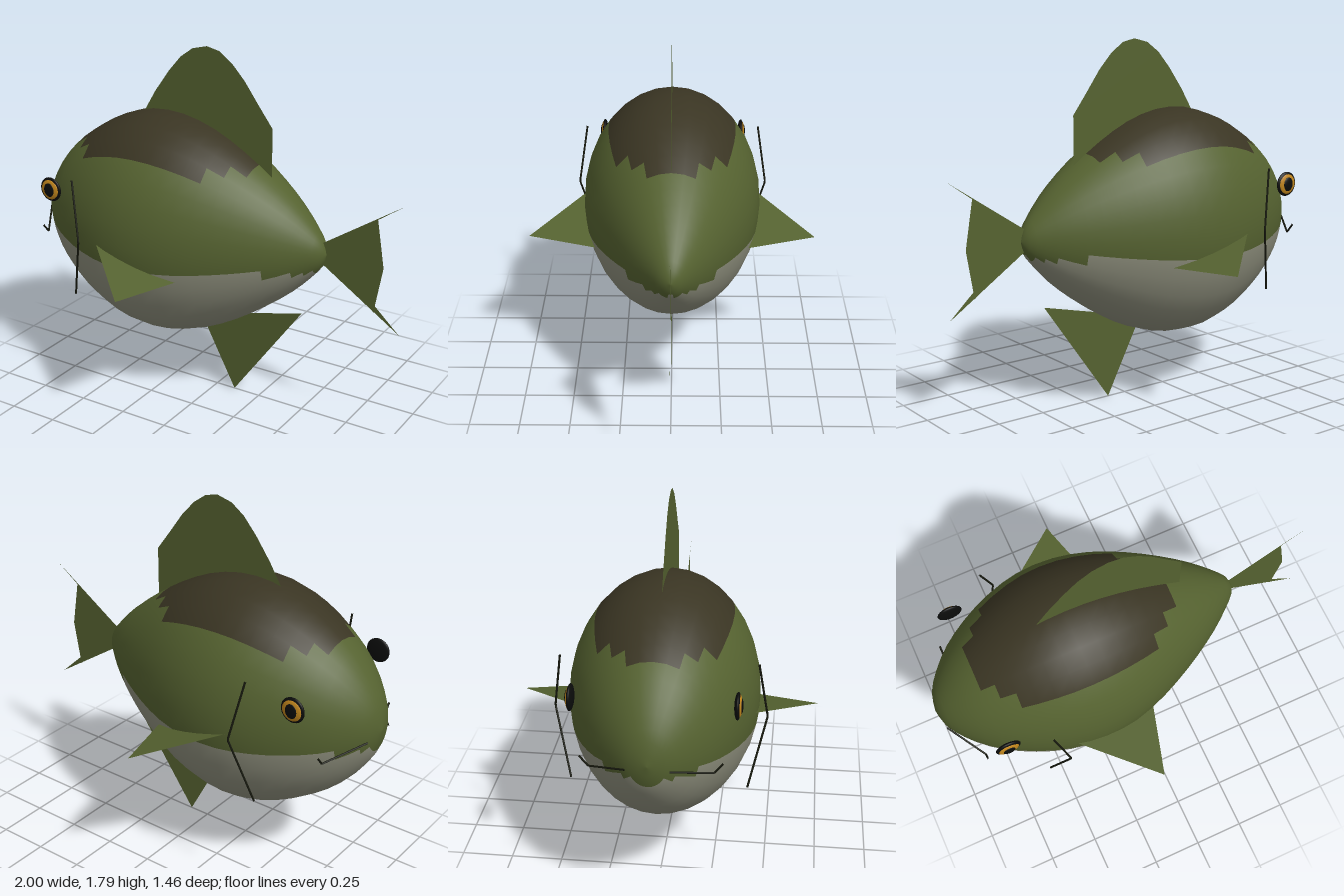
import * as THREE from 'three';

const mat = (name, color, side = THREE.FrontSide) => {
  const m = new THREE.MeshStandardMaterial({ color, side });
  m.name = name;
  return m;
};

export function createModel() {
  const group = new THREE.Group();
  const olive = mat('olive scales', 0x556230, THREE.DoubleSide);
  const dark = mat('dark back', 0x3a3523);
  const pale = mat('pale belly', 0x8c8d7b);
  const line = mat('dark line', 0x17190e);
  const amber = mat('amber iris', 0xc0851c);
  const black = mat('black eye', 0x0b0c0b);

  const add = (name, geometry, material) => {
    const mesh = new THREE.Mesh(geometry, material);
    mesh.name = name;
    group.add(mesh);
    return mesh;
  };

  // Body: elliptical rings along x, coloured face by face according to height
  const midY = 0.87, halfH = 0.58, halfW = 0.455, sides = 32, rings = 28;
  const radii = [0, 0.19, 0.375, 0.575, 0.75, 0.895, 0.985, 0.985, 0.9, 0.75, 0.575, 0.4, 0.235, 0.11, 0];
  const profile = new THREE.SplineCurve(radii.map((r, i) =>
    new THREE.Vector2(-0.195 - 0.805 * Math.cos((i / 14) * Math.PI), r))).getPoints(rings);
  const pos = [];
  for (const p of profile) {
    for (let j = 0; j < sides; j++) {
      const a = (j / sides) * Math.PI * 2;
      pos.push(p.x, midY + halfH * p.y * Math.cos(a), halfW * p.y * Math.sin(a));
    }
  }
  const faces = [[], [], []];
  for (let i = 0; i < rings; i++) {
    for (let j = 0; j < sides; j++) {
      const k = (j + 1) % sides;
      const a = i * sides + j, b = i * sides + k, c = a + sides, d = b + sides;
      const h = (pos[a * 3 + 1] + pos[b * 3 + 1] + pos[c * 3 + 1] + pos[d * 3 + 1]) / 4 - midY;
      const list = faces[h > 0.376 ? 1 : h < -0.08 ? 2 : 0];
      if (i > 0) list.push(a, b, c);
      if (i < rings - 1) list.push(b, d, c);
      else list.push(a, b, c);
    }
  }
  const bodyGeo = new THREE.BufferGeometry();
  bodyGeo.setAttribute('position', new THREE.Float32BufferAttribute(pos, 3));
  bodyGeo.setIndex(faces.flat());
  // The nose cap needs its own triangles, since the first ring is a single point
  const nose = [[], [], []];
  for (let j = 0; j < sides; j++) {
    const k = (j + 1) % sides;
    nose[0].push(j, sides + k, sides + j);
  }
  faces[0].push(...nose[0]);
  bodyGeo.setIndex(faces.flat());
  let start = 0;
  faces.forEach((f, i) => {
    bodyGeo.addGroup(start, f.length, i);
    start += f.length;
  });
  bodyGeo.computeVertexNormals();
  add('body', bodyGeo, [olive, dark, pale]);

  // Flat fins on the centre plane
  const fin = (name, pts) => add(name,
    new THREE.ShapeGeometry(new THREE.Shape(pts.map(([x, y]) => new THREE.Vector2(x, y)))), olive);
  fin('dorsalFin', [[-0.43, 1.42], [-0.36, 1.535], [-0.28, 1.645], [-0.21, 1.725], [-0.14, 1.775],
    [-0.06, 1.795], [0.01, 1.78], [0.08, 1.73], [0.15, 1.655], [0.23, 1.545], [0.305, 1.445],
    [0.305, 1.1], [-0.3, 1.3]]);
  fin('tailFin', [[0.54, 0.895], [0.59, 0.93], [1, 1.2], [0.865, 1.105], [0.905, 0.87],
    [0.865, 0.635], [1, 0.55], [0.59, 0.82], [0.54, 0.85]]);
  fin('analFin', [[-0.08, 0.35], [0.105, 0], [0.485, 0.53], [0.14, 0.445], [0.04, 0.48]]);

  for (const s of [1, -1]) {
    const side = s > 0 ? 'left' : 'right';

    // Pectoral fin
    const geo = new THREE.BufferGeometry().setFromPoints([
      new THREE.Vector3(-0.43, 0.85, 0.435 * s),
      new THREE.Vector3(-0.1, 0.742, 0.73 * s),
      new THREE.Vector3(0, 0.73, 0.385 * s),
    ]);
    geo.setIndex(s > 0 ? [0, 1, 2] : [0, 2, 1]);
    geo.computeVertexNormals();
    add(side + 'PectoralFin', geo, olive);

    // Gill and mouth lines
    const stroke = (name, pts, radius) => {
      const path = new THREE.CurvePath();
      const v = pts.map(([x, y, z]) => new THREE.Vector3(x, y, z * s));
      for (let i = 1; i < v.length; i++) path.add(new THREE.LineCurve3(v[i - 1], v[i]));
      add(side + name, new THREE.TubeGeometry(path, 40, radius, 6), line);
    };
    stroke('GillLine', [[-0.55, 1.165, 0.45], [-0.49, 0.87, 0.495], [-0.585, 0.54, 0.415]], 0.005);
    stroke('MouthLine', [[-0.98, 0.84, 0.095], [-0.857, 0.775, 0.28], [-0.857, 0.825, 0.32]], 0.005);

    // Eye: stacked flattened discs facing sideways
    const disc = (name, rx, ry, depth, z, material) => {
      const mesh = add(side + name, new THREE.SphereGeometry(1, 24, 16), material);
      mesh.scale.set(rx, ry, depth);
      mesh.position.set(-0.75, 1.055, z * s);
    };
    disc('EyeRim', 0.062, 0.062, 0.016, 0.37, black);
    disc('Iris', 0.052, 0.052, 0.014, 0.376, amber);
    disc('Pupil', 0.031, 0.036, 0.009, 0.385, black);
  }
  return group;
}
